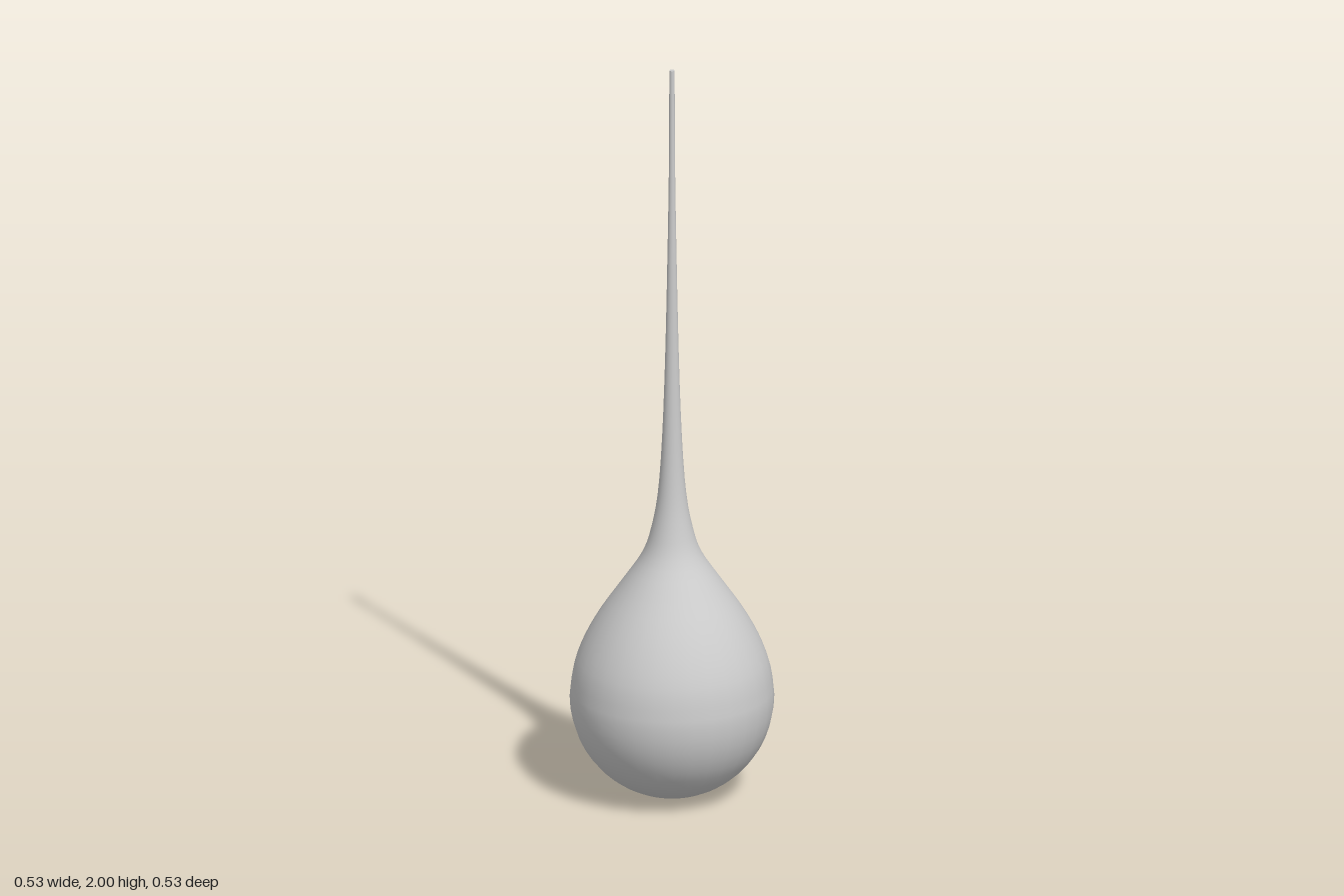
import * as THREE from 'three';

export function createModel() {
  const group = new THREE.Group();
  const material = new THREE.MeshStandardMaterial({ color: 0xcccccc });
  const sides = 32, radius = 0.266, centreY = 0.27, tipRadius = 0.007;

  // Round underside: quarter arc from the bottom pole to the widest ring
  const profile = [];
  for (let i = 0; i <= 12; i++) {
    const a = (i / 12) * Math.PI / 2;
    profile.push(new THREE.Vector2(radius * Math.sin(a), centreY * (1 - Math.cos(a))));
  }

  // Shoulder, neck and long thin tail
  const upper = new THREE.SplineCurve([
    [radius, centreY], [0.256, 0.35], [0.229, 0.425], [0.185, 0.505], [0.125, 0.592],
    [0.077, 0.665], [0.054, 0.735], [0.037, 0.83], [0.026, 0.98], [0.018, 1.2],
    [0.012, 1.48], [0.008, 1.74], [tipRadius, 2],
  ].map(([x, y]) => new THREE.Vector2(x, y)));
  profile.push(...upper.getPoints(36).slice(1));

  const drop = new THREE.Mesh(new THREE.LatheGeometry(profile, sides), material);
  drop.name = 'dropBody';
  group.add(drop);

  // Flat end of the tail
  const cap = new THREE.Mesh(new THREE.CircleGeometry(tipRadius, sides), material);
  cap.name = 'tailCap';
  cap.rotation.x = -Math.PI / 2;
  cap.position.y = 2;
  group.add(cap);

  return group;
}
